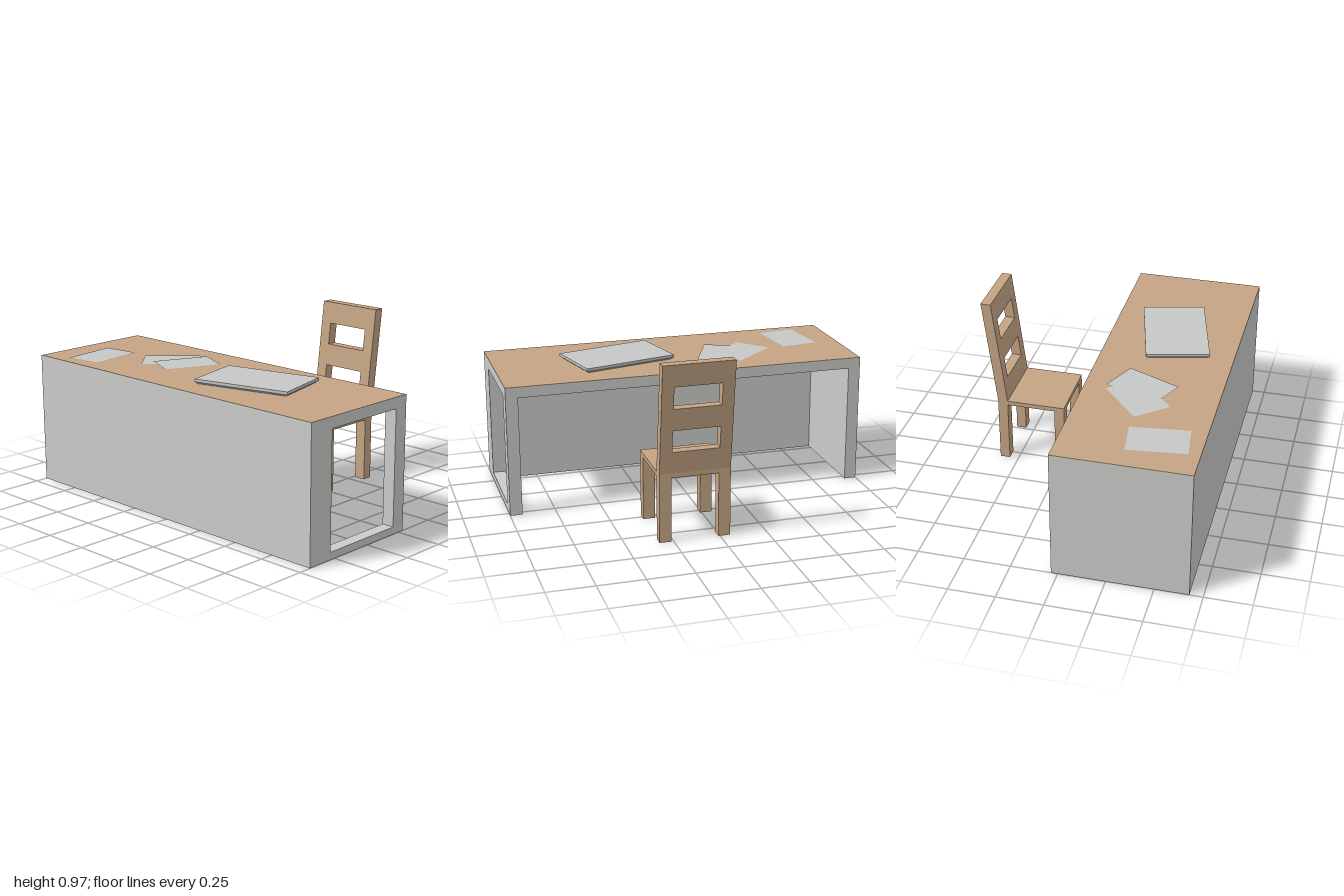
import * as THREE from 'three';

export function createModel() {
  const model = new THREE.Group();
  const mat = (name, color) => {
    const m = new THREE.MeshStandardMaterial({ color });
    m.name = name;
    return m;
  };
  const grey = mat('desk grey', 0xcbcbc9);
  const wood = mat('light wood', 0xc4a484);
  const pale = mat('pale paper', 0xc6c8c7);
  pale.side = THREE.DoubleSide;

  const add = (parent, name, geometry, material) => {
    const mesh = new THREE.Mesh(geometry, material);
    mesh.name = name;
    parent.add(mesh);
    return mesh;
  };
  // Box given by its limits on each axis
  const box = (parent, name, [x0, x1], [y0, y1], [z0, z1], material) => {
    const mesh = add(parent, name, new THREE.BoxGeometry(x1 - x0, y1 - y0, z1 - z0), material);
    mesh.position.set((x0 + x1) / 2, (y0 + y1) / 2, (z0 + z1) / 2);
    return mesh;
  };

  // Desk: grey shell whose upper face is wood
  const desk = new THREE.Group();
  desk.name = 'desk';
  model.add(desk);
  const H = 0.72, under = 0.66, back = -0.035, inner = 0.53, front = 0.68, wall = 0.067;
  box(desk, 'deskTop', [-1, 1], [under, H], [back, front], [grey, grey, wood, grey, grey, grey]);
  box(desk, 'frontPanel', [-1, 1], [0, under], [inner, front], grey);
  box(desk, 'solidEnd', [-1, -1 + wall], [0, under], [back, inner], grey);
  box(desk, 'openEndPost', [1 - wall, 1], [0, under], [back, 0.045], grey);
  box(desk, 'openEndRail', [1 - wall, 1], [0, 0.04], [0.045, inner], grey);

  // Sheets of paper: x, z, turn, lift
  [[-0.747, 0.452, 0.125, 0.002], [-0.385, 0.265, -0.854, 0.002], [-0.267, 0.263, -0.42, 0.004]]
    .forEach(([x, z, turn, lift]) => {
      const sheet = add(model, 'paperSheet', new THREE.PlaneGeometry(0.207, 0.31).rotateX(-Math.PI / 2), pale);
      sheet.position.set(x, H + lift, z);
      sheet.rotation.y = turn;
    });

  // Closed laptop: flat lid above a base that narrows downwards
  const laptop = new THREE.Group();
  laptop.name = 'laptop';
  laptop.position.set(0.3125, H, 0.32);
  laptop.rotation.y = 0.243;
  model.add(laptop);
  const L = 0.538, W = 0.343, inset = 0.015;
  box(laptop, 'laptopLid', [-L / 2, L / 2], [0.013, 0.028], [-W / 2, W / 2], pale);
  const base = new THREE.BoxGeometry(L, 0.012, W).translate(0, 0.007, 0);
  const p = base.attributes.position;
  for (let i = 0; i < p.count; i++) {
    if (p.getY(i) > 0.007) continue;
    p.setX(i, p.getX(i) - Math.sign(p.getX(i)) * inset);
    p.setZ(i, p.getZ(i) - Math.sign(p.getZ(i)) * inset);
  }
  base.computeVertexNormals();
  add(laptop, 'laptopBase', base, pale);

  // Chair, centred on its own x axis
  const chair = new THREE.Group();
  chair.name = 'chair';
  chair.position.x = 0.135;
  model.add(chair);
  const half = 0.19, leg = 0.064, seatY = 0.375, topY = 0.97;
  box(chair, 'seat', [-half, half], [0.35, seatY], [-0.605, -0.225], wood);
  for (const x of [-half, half - leg]) {
    box(chair, 'frontLeg', [x, x + leg], [0, 0.35], [-0.28, -0.225], wood);
    box(chair, 'backLeg', [x, x + leg], [0, 0.35], [-0.605, -0.55], wood);
  }

  // Backrest: panel with two openings, sheared to lean backwards
  const rect = (Type, x, y0, y1) => {
    const r = new Type();
    r.moveTo(-x, y0).lineTo(x, y0).lineTo(x, y1).lineTo(-x, y1).closePath();
    return r;
  };
  const panel = rect(THREE.Shape, half, seatY, topY);
  const rail = (topY - seatY) / 5;
  for (const k of [1, 3]) {
    panel.holes.push(rect(THREE.Path, half - leg, seatY + k * rail, seatY + (k + 1) * rail));
  }
  const backrest = new THREE.ExtrudeGeometry(panel, { depth: 0.055, bevelEnabled: false });
  const b = backrest.attributes.position;
  for (let i = 0; i < b.count; i++) {
    b.setZ(i, b.getZ(i) - 0.605 - 0.126 * (b.getY(i) - seatY));
  }
  backrest.computeVertexNormals();
  add(chair, 'backrest', backrest, wood);

  return model;
}
